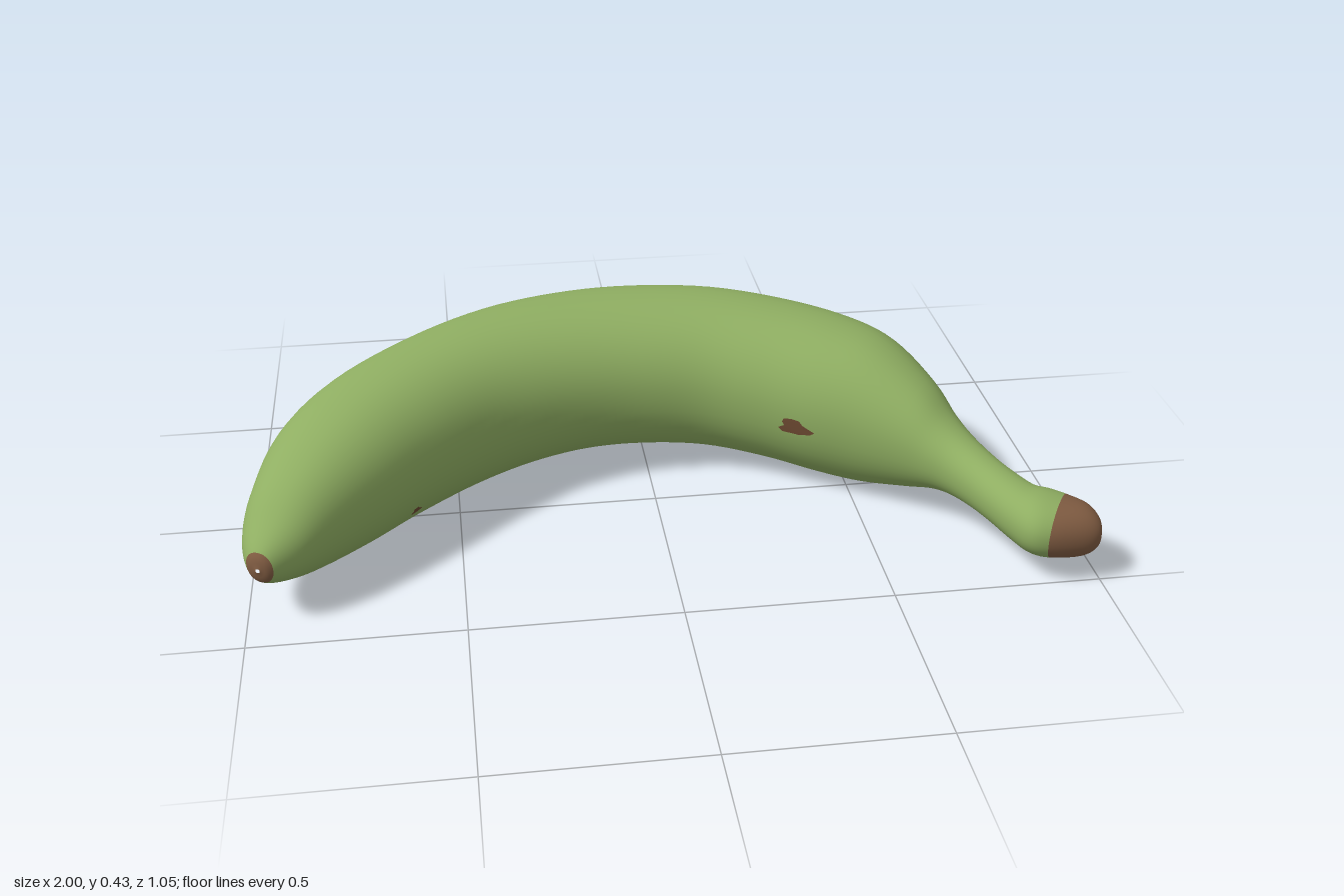
import * as THREE from 'three';

const green = new THREE.MeshStandardMaterial({ name: 'green peel', color: 0x8fae62 });
const brown = new THREE.MeshStandardMaterial({ name: 'brown ends', color: 0x805c42 });
const dark = new THREE.MeshStandardMaterial({ name: 'dark spots', color: 0x6e4a32 });

// Cross-sections from blossom tip to stem: outer x, z, inner x, z, top y, bottom y
const sections = [
  [-0.965, 0.418, -0.955, 0.422, 0.155, 0.145],
  [-0.987, 0.39, -0.925, 0.423, 0.19, 0.11],
  [-1.0, 0.32, -0.86, 0.39, 0.235, 0.08],
  [-0.99, 0.22, -0.78, 0.325, 0.30, 0.05],
  [-0.945, 0.04, -0.66, 0.215, 0.36, 0.02],
  [-0.84, -0.13, -0.54, 0.105, 0.395, 0.01],
  [-0.66, -0.30, -0.40, 0.0, 0.415, 0.01],
  [-0.45, -0.44, -0.27, -0.058, 0.425, 0.018],
  [-0.235, -0.51, -0.14, -0.09, 0.43, 0.025],
  [-0.016, -0.527, -0.01, -0.097, 0.432, 0.025],
  [0.22, -0.49, 0.13, -0.08, 0.43, 0.02],
  [0.43, -0.40, 0.26, -0.025, 0.42, 0.01],
  [0.59, -0.29, 0.38, 0.045, 0.405, 0],
  [0.68, -0.18, 0.48, 0.10, 0.38, 0.005],
  [0.74, -0.03, 0.585, 0.165, 0.32, 0.04],
  [0.765, 0.07, 0.645, 0.21, 0.265, 0.07],
  [0.79, 0.15, 0.685, 0.25, 0.235, 0.08],
  [0.825, 0.235, 0.72, 0.305, 0.215, 0.08],
  [0.855, 0.29, 0.75, 0.37, 0.205, 0.075],
  [0.885, 0.335, 0.78, 0.44, 0.2, 0.065],
  [0.915, 0.345, 0.81, 0.495, 0.2, 0.055],
  [0.95, 0.365, 0.855, 0.515, 0.193, 0.05],
  [0.982, 0.40, 0.94, 0.517, 0.18, 0.055],
  [0.997, 0.44, 0.983, 0.505, 0.155, 0.08],
  [0.999, 0.468, 0.998, 0.478, 0.123, 0.113],
];
const last = sections.length - 1;
const outerTop = new THREE.CatmullRomCurve3(
  sections.map(s => new THREE.Vector3(s[0], s[4], s[1])), false, 'catmullrom', 0.5);
const innerBottom = new THREE.CatmullRomCurve3(
  sections.map(s => new THREE.Vector3(s[2], s[5], s[3])), false, 'catmullrom', 0.5);

// Point on the peel: u counts sections, t turns from the outer side over the top
function peelPoint(u, t, swell = 1) {
  const o = outerTop.getPoint(u / last), i = innerBottom.getPoint(u / last);
  const soften = v => Math.sign(v) * Math.pow(Math.abs(v), 0.94) * swell;
  const c = soften(Math.cos(t)), s = soften(Math.sin(t));
  return new THREE.Vector3(
    (o.x + i.x) / 2 + (o.x - i.x) / 2 * c,
    (o.y + i.y) / 2 + (o.y - i.y) / 2 * s,
    (o.z + i.z) / 2 + (o.z - i.z) / 2 * c);
}

function makeGeometry(points, index) {
  const g = new THREE.BufferGeometry();
  g.setAttribute('position', new THREE.Float32BufferAttribute(points.flatMap(p => p.toArray()), 3));
  g.setIndex(index);
  g.computeVertexNormals();
  return g;
}

// Smooth curved body with brown end caps as groups
function makeBody() {
  const steps = 5, sides = 48, rows = last * steps;
  const points = [], index = [];
  for (let r = 0; r <= rows; r++)
    for (let k = 0; k < sides; k++)
      points.push(peelPoint(r / steps, k / sides * Math.PI * 2));
  for (let r = 0; r < rows; r++)
    for (let k = 0; k < sides; k++) {
      const a = r * sides + k, b = r * sides + (k + 1) % sides;
      index.push(a, b, a + sides, b, b + sides, a + sides);
    }
  const g = makeGeometry(points, index);
  const perSection = steps * sides * 6;
  g.addGroup(0, perSection, 1);
  g.addGroup(perSection, perSection * 20, 0);
  g.addGroup(perSection * 21, perSection * (last - 21), 1);
  return new THREE.Mesh(g, [green, brown]);
}

// Thin ragged blemish lying on the peel
function makeSpot(u, t, du, dt) {
  const n = 14, points = [peelPoint(u, t, 1.018)], index = [];
  for (let k = 0; k < n; k++) {
    const a = k / n * Math.PI * 2, r = 0.85 + 0.2 * Math.sin(a * 3 + 1) + 0.1 * Math.cos(a * 5);
    points.push(peelPoint(u + du * r * Math.cos(a), t + dt * r * Math.sin(a), 1.018));
    index.push(0, 1 + (k + 1) % n, 1 + k);
  }
  return new THREE.Mesh(makeGeometry(points, index), dark);
}

export function createModel() {
  const model = new THREE.Group();
  model.name = 'banana';
  const body = makeBody();
  body.name = 'peel with stem and tip';
  model.add(body);

  // Blemishes on the inner curve and the underside
  const spots = [
    [11.75, Math.PI + 0.03, 0.36, 0.1],
    [4.6, Math.PI + 0.5, 0.1, 0.07],
    [9.7, -1.1, 0.08, 0.08],
    [8.85, -0.97, 0.09, 0.08],
  ];
  spots.forEach((s, i) => {
    const spot = makeSpot(...s);
    spot.name = 'blemish' + (i + 1);
    model.add(spot);
  });
  return model;
}
